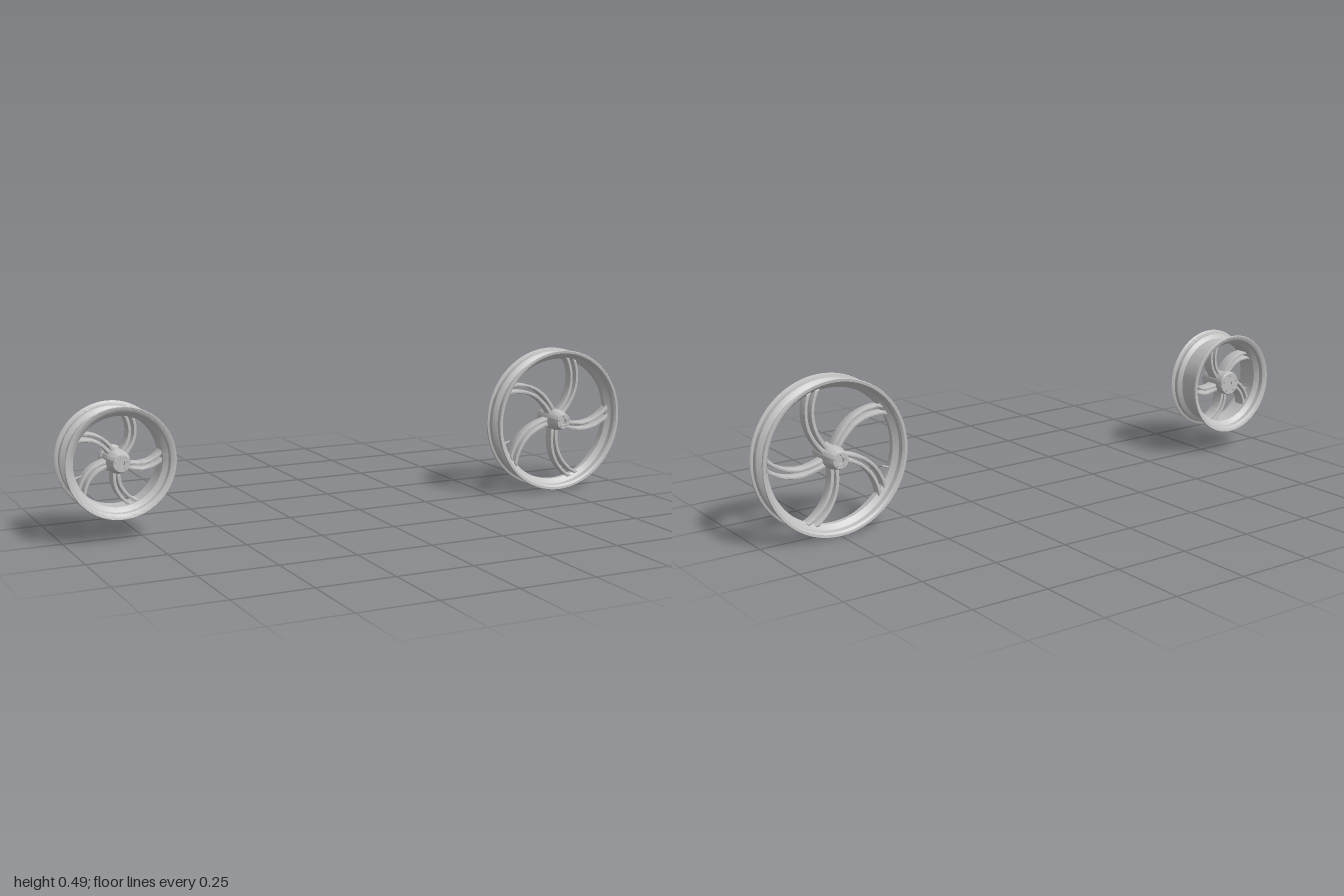
import * as THREE from 'three';
import { toCreasedNormals } from 'three/addons/utils/BufferGeometryUtils.js';

const metal = new THREE.MeshStandardMaterial({ color: 0xc0c0c0 });
metal.name = 'castMetal';

function part(name, geometry, parent) {
  const mesh = new THREE.Mesh(toCreasedNormals(geometry, 0.6), metal);
  mesh.name = name;
  parent.add(mesh);
  return mesh;
}

// Solid turned around the z axis from [z, radius] points
function turned(points, segments) {
  return new THREE.LatheGeometry(points.map(([z, r]) => new THREE.Vector2(r, z)), segments).rotateX(Math.PI / 2);
}

// Closed symmetric rim section from one half of its outer and inner outlines
function rim(outer, inner) {
  const flip = ([z, r]) => [-z, r];
  const loop = [
    ...[...outer].reverse().map(flip), ...outer,
    ...[...inner].reverse(), ...inner.map(flip),
  ];
  return turned([...loop, loop[0]], 96);
}

// One curved rib of a split spoke; side is -1 or 1
function rib(side, r0, r1, depth, spread, width) {
  const left = [], right = [], n = 18;
  for (let i = 0; i <= n; i++) {
    const t = i / n, r = r0 + (r1 - r0) * t;
    const sweep = (-25 + 28 * Math.pow(t, 1.5)) * Math.PI / 180;
    const offset = side * (spread * (0.5 + 0.5 * t));
    const flare = 1 + 0.35 * Math.pow(2 * t - 1, 4);
    const at = (o) => new THREE.Vector2(r * Math.cos(sweep + o / r), r * Math.sin(sweep + o / r));
    right.push(at(offset - width * flare));
    left.push(at(offset + width * flare));
  }
  const bevel = 0.003;
  const geometry = new THREE.ExtrudeGeometry(new THREE.Shape([...right, ...left.reverse()]), {
    depth: depth - 2 * bevel, bevelEnabled: true, bevelThickness: bevel,
    bevelSize: bevel, bevelOffset: -bevel, bevelSegments: 2,
  });
  return geometry.translate(0, 0, -depth / 2 + bevel);
}

function wheel(name, o) {
  const group = new THREE.Group();
  group.name = name;
  part('rim', rim(o.outer, o.inner), group);
  part('hub', turned(o.hub, 48), group);

  // Five split spokes
  for (let i = 0; i < 5; i++) {
    for (const side of [-1, 1]) {
      const mesh = part('spokeRib', rib(side, o.spokeStart, o.spokeEnd, o.depth, o.spread, o.ribWidth), group);
      mesh.rotation.z = (3 + i * 72 - 3) * Math.PI / 180;
    }
  }

  // Bolt rings on the hub faces
  for (const { z, radius, length } of o.bolts) {
    for (let i = 0; i < 5; i++) {
      const a = (i * 72 + 18) * Math.PI / 180;
      const bolt = part('hubBolt', new THREE.CylinderGeometry(0.0035, 0.0035, length, 12).rotateX(Math.PI / 2), group);
      bolt.position.set(radius * Math.cos(a), radius * Math.sin(a), z);
    }
  }

  // Air valve pointing inward from the rim
  const a = 200 * Math.PI / 180, r = o.spokeEnd - 0.012;
  const valve = part('valve', new THREE.CylinderGeometry(0.0025, 0.0035, 0.034, 12), group);
  valve.position.set(r * Math.cos(a), r * Math.sin(a), 0);
  valve.rotation.z = a + Math.PI / 2;
  return group;
}

export function createModel() {
  const model = new THREE.Group();
  model.name = 'wheelPair';

  const large = wheel('largeWheel', {
    outer: [[0.009, 0.221], [0.018, 0.234], [0.021, 0.236], [0.025, 0.2345], [0.037, 0.236],
      [0.039, 0.243], [0.042, 0.245], [0.045, 0.243]],
    inner: [[0.008, 0.212], [0.016, 0.221], [0.022, 0.227], [0.038, 0.229], [0.044, 0.235]],
    hub: [[-0.055, 0], [-0.055, 0.011], [-0.066, 0.011], [-0.066, 0.025], [-0.063, 0.027], [-0.045, 0.031],
      [-0.03, 0.036], [0.03, 0.036], [0.045, 0.031], [0.063, 0.027], [0.066, 0.025],
      [0.066, 0.011], [0.055, 0.011], [0.055, 0]],
    spokeStart: 0.03, spokeEnd: 0.218, depth: 0.034, spread: 0.015, ribWidth: 0.0058,
    bolts: [{ z: 0.068, radius: 0.0185, length: 0.008 }, { z: -0.068, radius: 0.0185, length: 0.008 }],
  });
  large.position.set(0.755, 0.245, 0);
  model.add(large);

  const small = wheel('smallWheel', {
    outer: [[0.033, 0.148], [0.04, 0.158], [0.043, 0.162], [0.047, 0.161], [0.056, 0.163],
      [0.058, 0.172], [0.061, 0.175], [0.064, 0.173]],
    inner: [[0.03, 0.141], [0.038, 0.149], [0.043, 0.155], [0.057, 0.157], [0.063, 0.165]],
    hub: [[-0.05, 0], [-0.05, 0.01], [-0.054, 0.01], [-0.054, 0.038], [-0.05, 0.041], [-0.03, 0.041],
      [-0.025, 0.037], [0.03, 0.037], [0.04, 0.033], [0.056, 0.028], [0.062, 0.026],
      [0.062, 0.011], [0.052, 0.011], [0.052, 0]],
    spokeStart: 0.03, spokeEnd: 0.146, depth: 0.042, spread: 0.0125, ribWidth: 0.0055,
    bolts: [{ z: 0.064, radius: 0.0185, length: 0.008 }, { z: -0.055, radius: 0.029, length: 0.008 }],
  });
  small.position.set(-0.825, 0.244, -0.002);
  model.add(small);

  return model;
}
